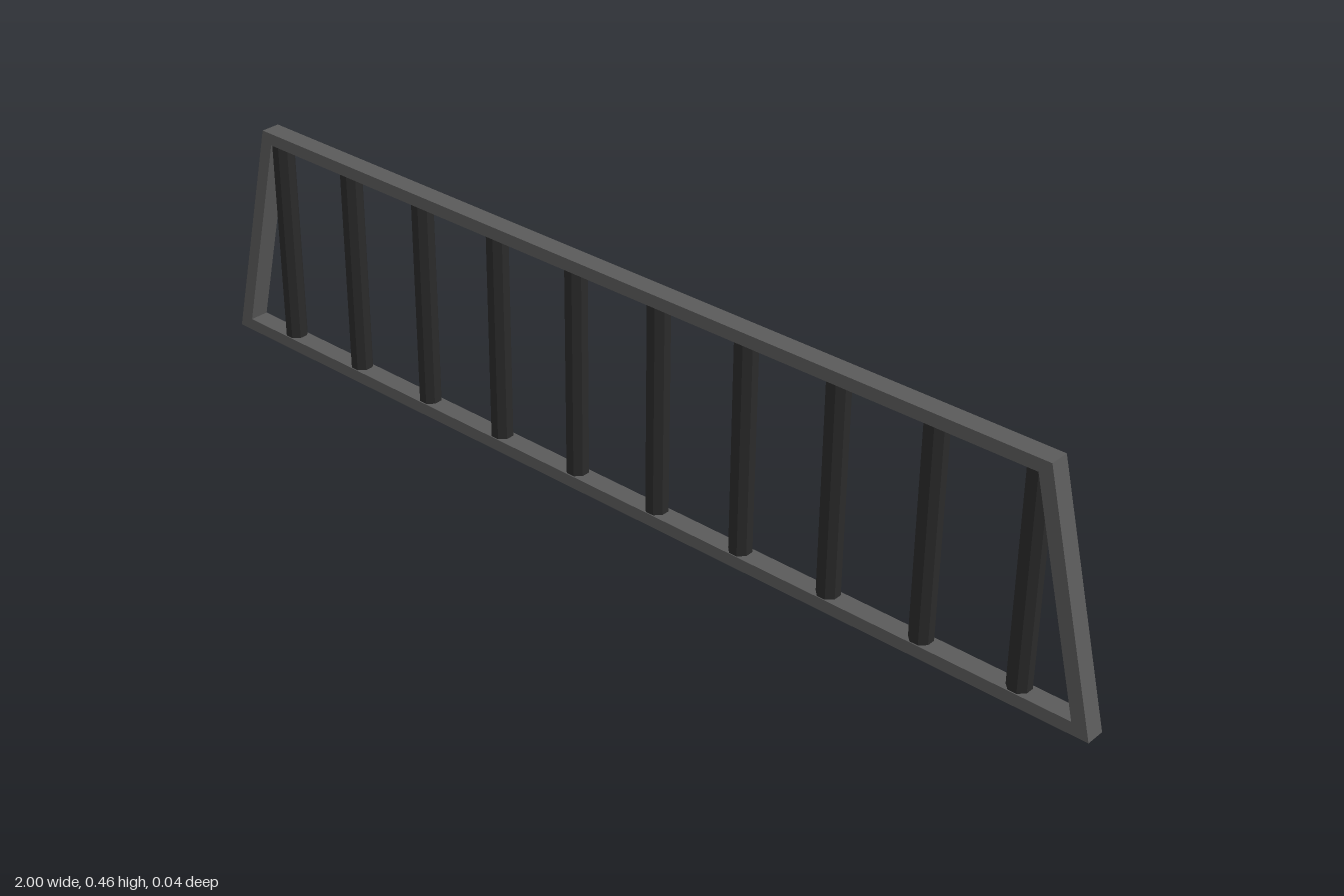
import * as THREE from 'three';

// Closed outline of a symmetric trapezoid
function trapezoid(target, bottomHalf, topHalf, y0, y1) {
  target.moveTo(-bottomHalf, y0);
  target.lineTo(bottomHalf, y0);
  target.lineTo(topHalf, y1);
  target.lineTo(-topHalf, y1);
  target.closePath();
  return target;
}

export function createModel() {
  const model = new THREE.Group();
  model.name = 'railing';

  const frameGrey = new THREE.MeshStandardMaterial({ color: 0x5a5a5a });
  frameGrey.name = 'frame grey';
  const barBlack = new THREE.MeshStandardMaterial({ color: 0x2a2a2a, flatShading: true });
  barBlack.name = 'bar black';

  // Trapezoid frame with an open middle
  const outline = trapezoid(new THREE.Shape(), 1, 0.886, 0, 0.458);
  outline.holes.push(trapezoid(new THREE.Path(), 0.966, 0.864, 0.024, 0.434));
  const frameGeometry = new THREE.ExtrudeGeometry(outline, { depth: 0.038, bevelEnabled: false });
  frameGeometry.translate(0, 0, -0.016);
  const frame = new THREE.Mesh(frameGeometry, frameGrey);
  frame.name = 'frame';
  model.add(frame);

  // Evenly spaced eight-sided upright bars, standing slightly proud at the back
  const bars = new THREE.Group();
  bars.name = 'bars';
  const count = 10, spacing = 0.19, bottom = 0.002, top = 0.446;
  const barGeometry = new THREE.CylinderGeometry(0.0216, 0.0216, top - bottom, 8);
  barGeometry.rotateY(Math.PI / 8);
  for (let i = 0; i < count; i++) {
    const bar = new THREE.Mesh(barGeometry, barBlack);
    bar.name = `bar${i + 1}`;
    bar.position.set((i - (count - 1) / 2) * spacing, (bottom + top) / 2, 0);
    bars.add(bar);
  }
  model.add(bars);

  return model;
}
